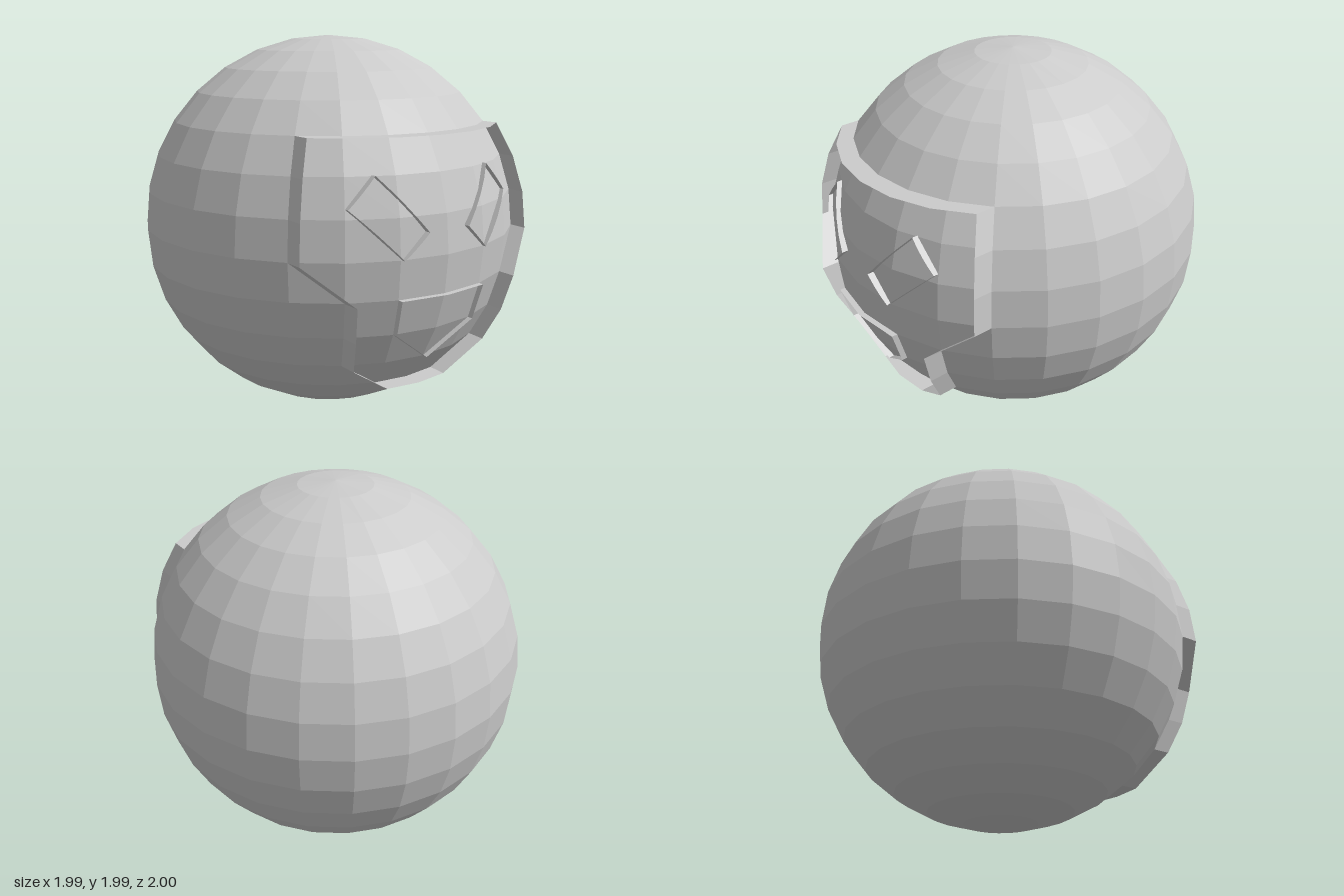
import * as THREE from 'three';

const R = 0.995, COLS = 24, ROWS = 16;

// Point on the ball's own facet grid: col 0 faces front, row 0 is the top.
function gridPoint(col, row) {
  const a = (col / COLS) * Math.PI * 2, t = (row / ROWS) * Math.PI;
  return new THREE.Vector3(R * Math.sin(t) * Math.sin(a), R * Math.cos(t), R * Math.sin(t) * Math.cos(a));
}

// Point on the front of the ball above a given x, y (y from the ball's centre).
function frontPoint(x, y) {
  return new THREE.Vector3(x, y, Math.sqrt(R * R - x * x - y * y));
}

// Open wall running around a closed outline, standing out along z.
function wall(name, points, back, front, material) {
  const pos = [];
  points.forEach((p, i) => {
    const q = points[(i + 1) % points.length];
    const a = [p.x, p.y, p.z + back], b = [q.x, q.y, q.z + back];
    const c = [q.x, q.y, q.z + front], d = [p.x, p.y, p.z + front];
    pos.push(...a, ...b, ...c, ...a, ...c, ...d);
  });
  const geo = new THREE.BufferGeometry();
  geo.setAttribute('position', new THREE.Float32BufferAttribute(pos, 3));
  geo.computeVertexNormals();
  const mesh = new THREE.Mesh(geo, material);
  mesh.name = name;
  return mesh;
}

// Completes a right-to-left symmetric grid outline from its +x half.
function mirrored(half) {
  const other = half.filter(([c]) => c !== 0).reverse().map(([c, r]) => [-c, r]);
  return [...half, ...other].map(([c, r]) => gridPoint(c, r));
}

export function createModel() {
  const group = new THREE.Group();
  group.name = 'faceBall';
  const solid = new THREE.MeshStandardMaterial({ color: 0xcccccc, flatShading: true });
  const thin = new THREE.MeshStandardMaterial({ color: 0xcccccc, flatShading: true, side: THREE.DoubleSide });

  // Faceted ball
  const ball = new THREE.Mesh(new THREE.SphereGeometry(R, COLS, ROWS), solid);
  ball.name = 'ball';
  group.add(ball);

  // Raised outline of the face: brow, cheeks, jaw and chin
  const face = [[0, 5], [1, 5], [2, 5], [3, 5], [3, 6], [3, 7], [3, 8],
    [2, 9], [2, 10], [2, 11], [1, 12], [0, 12]];
  // The chin centre closes the half, so the mirrored half follows on from it
  group.add(wall('faceOutline', mirrored(face), 0, 0.1, thin));

  // Mouth outline
  const mouth = [[0, 9], [1, 9], [1, 10], [0, 11]];
  group.add(wall('mouthOutline', mirrored(mouth), 0, 0.03, thin));

  // Slanted eye outlines, following the curve of the ball
  const corners = [[0.12, 0.12], [0.25, 0], [0.48, 0.24], [0.34, 0.385]];
  for (const side of [1, -1]) {
    const points = [];
    corners.forEach(([x, y], i) => {
      const [nx, ny] = corners[(i + 1) % corners.length];
      for (let k = 0; k < 4; k++) {
        const t = k / 4;
        points.push(frontPoint(side * (x + (nx - x) * t), y + (ny - y) * t));
      }
    });
    group.add(wall(side > 0 ? 'leftEyeOutline' : 'rightEyeOutline', points, -0.03, 0.02, thin));
  }

  group.position.y = R;
  return group;
}
